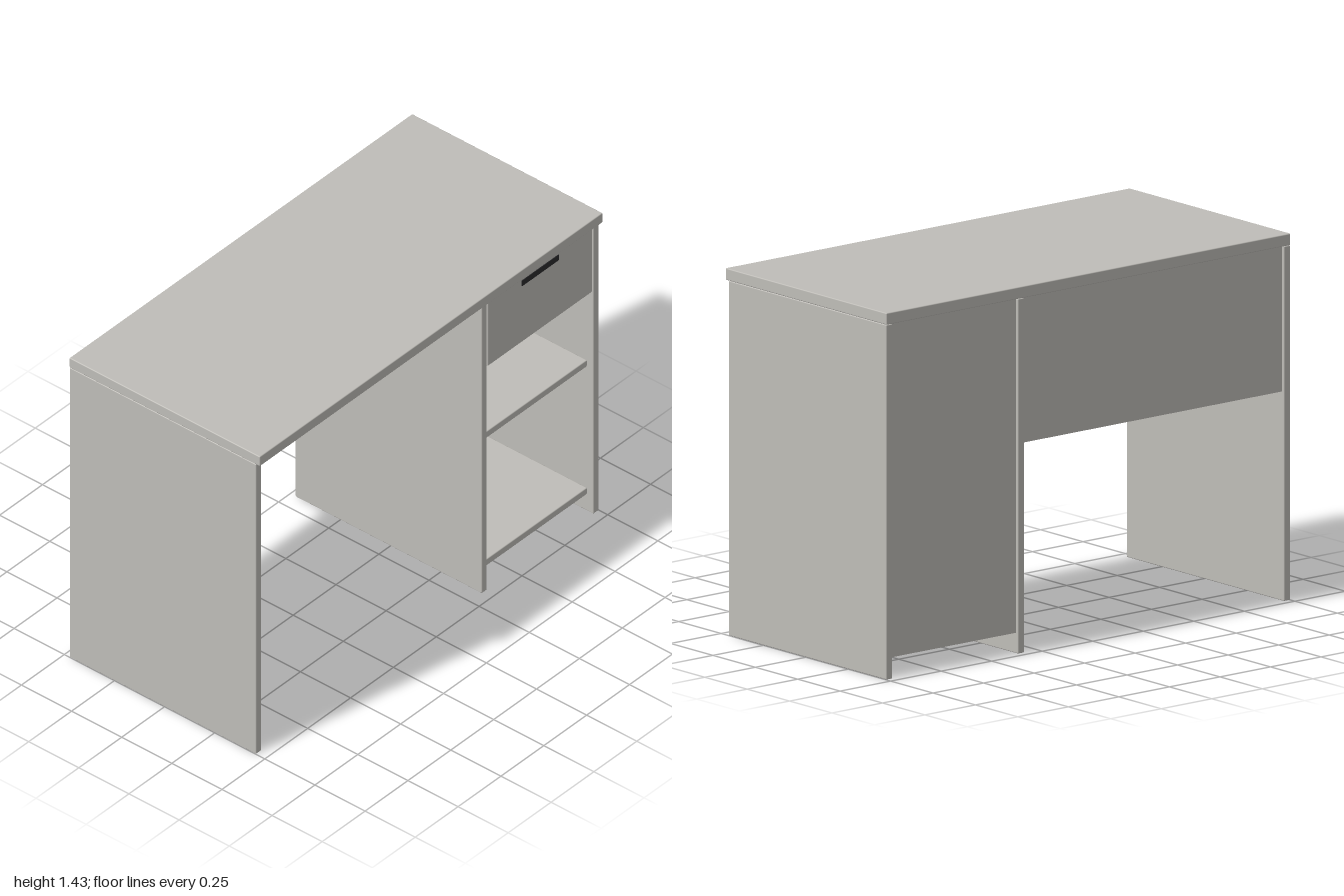
import * as THREE from 'three';
import { RoundedBoxGeometry } from 'three/addons/geometries/RoundedBoxGeometry.js';

export function createModel() {
  const desk = new THREE.Group();
  desk.name = 'desk';

  const board = new THREE.MeshStandardMaterial({ color: 0xbfbdb8 });
  board.name = 'warm grey board';
  const dark = new THREE.MeshStandardMaterial({ color: 0x2a2a2c });
  dark.name = 'dark slot';

  // Adds a box from its limits on x, y and z; r softens the edges
  function panel(name, [x0, x1], [y0, y1], [z0, z1], r = 0, material = board, parent = desk) {
    const size = [x1 - x0, y1 - y0, z1 - z0];
    const geometry = r ? new RoundedBoxGeometry(...size, 2, r) : new THREE.BoxGeometry(...size);
    const mesh = new THREE.Mesh(geometry, material);
    mesh.name = name;
    mesh.position.set((x0 + x1) / 2, (y0 + y1) / 2, (z0 + z1) / 2);
    parent.add(mesh);
    return mesh;
  }

  const under = 1.384; // underside of the top
  const soft = 0.004;

  // Worktop and the three upright panels
  panel('worktop', [-1, 1], [under, 1.43], [-0.475, 0.475], soft);
  const uprights = { rightSide: [-1, -0.968], divider: [0.317, 0.348], leftSide: [0.968, 1] };
  for (const [name, x] of Object.entries(uprights)) {
    panel(name, x, [0, under], [-0.474, 0.456], soft);
  }

  // Rear panels: short one over the knee space, long one behind the cabinet
  panel('modestyPanel', [-0.968, 0.317], [0.816, under], [-0.462, -0.43]);
  panel('cabinetBack', [0.348, 0.968], [0.08, under], [-0.462, -0.43]);
  panel('cableSlot', [-0.06, 0.058], [1.23, 1.29], [-0.43, -0.426], 0, dark);

  // Cabinet shelves
  for (const [name, y] of [['bottomShelf', 0.08], ['middleShelf', 0.69]]) {
    panel(name, [0.348, 0.968], [y, y + 0.031], [-0.43, 0.425], soft);
  }

  // Drawer: front, grip slot and an open tray behind
  const drawer = new THREE.Group();
  drawer.name = 'drawer';
  desk.add(drawer);
  panel('drawerFront', [0.353, 0.963], [1.064, 1.373], [0.425, 0.455], soft, board, drawer);
  panel('drawerGrip', [0.55, 0.764], [1.333, 1.359], [0.455, 0.458], 0, dark, drawer);
  panel('drawerBottom', [0.365, 0.951], [1.085, 1.1], [-0.4, 0.425], 0, board, drawer);
  panel('drawerBack', [0.385, 0.931], [1.1, 1.32], [-0.4, -0.38], 0, board, drawer);
  for (const x of [0.365, 0.931]) {
    panel('drawerSide', [x, x + 0.02], [1.1, 1.32], [-0.4, 0.425], 0, board, drawer);
  }

  return desk;
}
